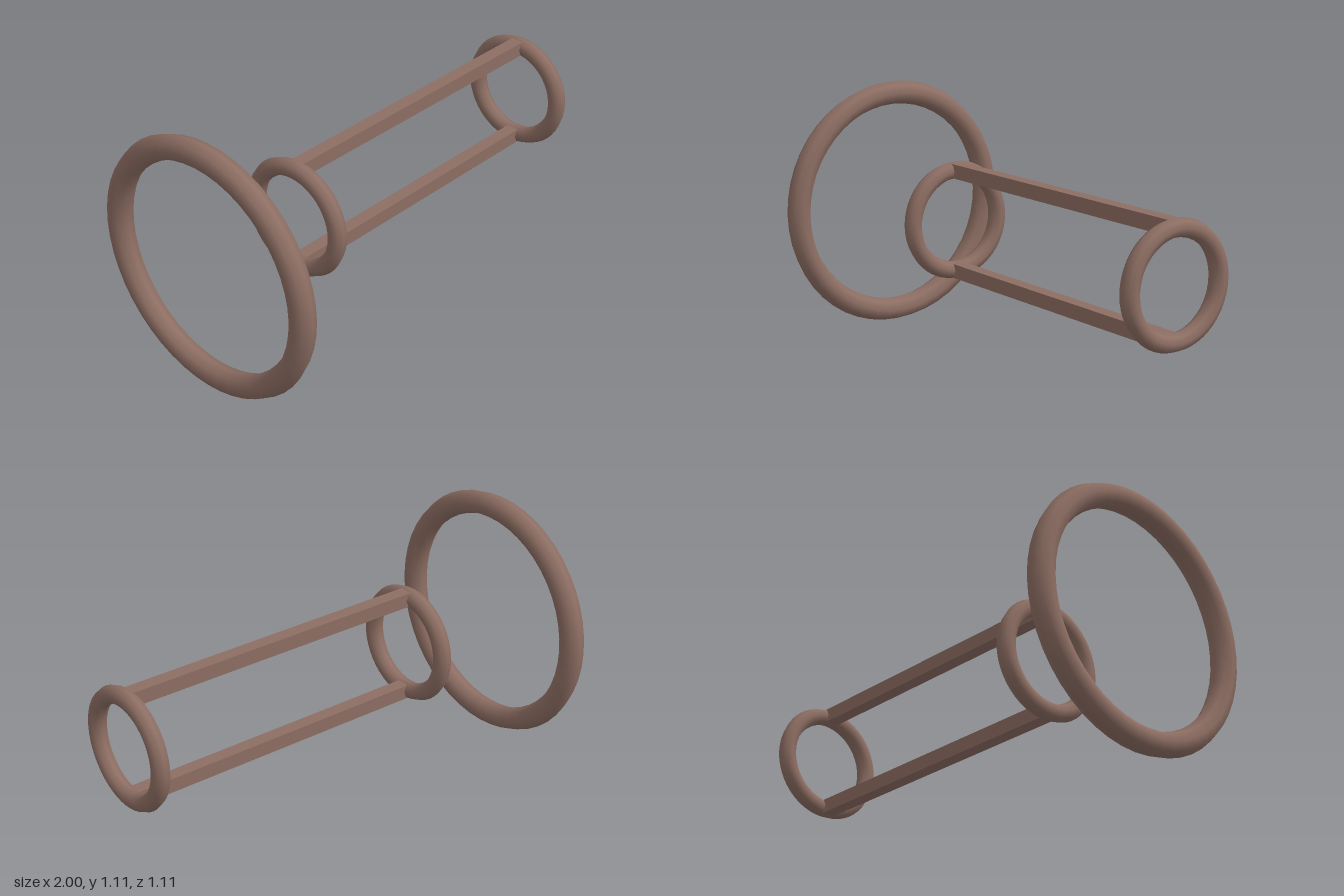
import * as THREE from 'three';

const AXIS_Y = 0.555;   // height of the common axis
const NEAR_X = -0.462;  // small ring beside the large one
const FAR_X = 0.962;    // small ring at the far end
const SMALL_R = 0.222;

export function createModel() {
  const group = new THREE.Group();
  const material = new THREE.MeshStandardMaterial({ color: 0x8d6e63 });

  const add = (name, geometry, x, y) => {
    const mesh = new THREE.Mesh(geometry, material);
    mesh.name = name;
    mesh.position.set(x, y, 0);
    group.add(mesh);
  };

  // Rings stand upright around the x axis
  const ring = (radius, tube) =>
    new THREE.TorusGeometry(radius, tube, 8, 48).rotateY(Math.PI / 2);

  add('largeRing', ring(0.503, 0.052), -0.948, AXIS_Y);
  add('nearRing', ring(SMALL_R, 0.038), NEAR_X, AXIS_Y);
  add('farRing', ring(SMALL_R, 0.038), FAR_X, AXIS_Y);

  // Square bars joining the two small rings, above and below the axis
  for (const [name, side] of [['upperBar', 1], ['lowerBar', -1]]) {
    const bar = new THREE.BoxGeometry(FAR_X - NEAR_X, 0.062, 0.06);
    add(name, bar, (NEAR_X + FAR_X) / 2, AXIS_Y + side * SMALL_R);
  }

  return group;
}
